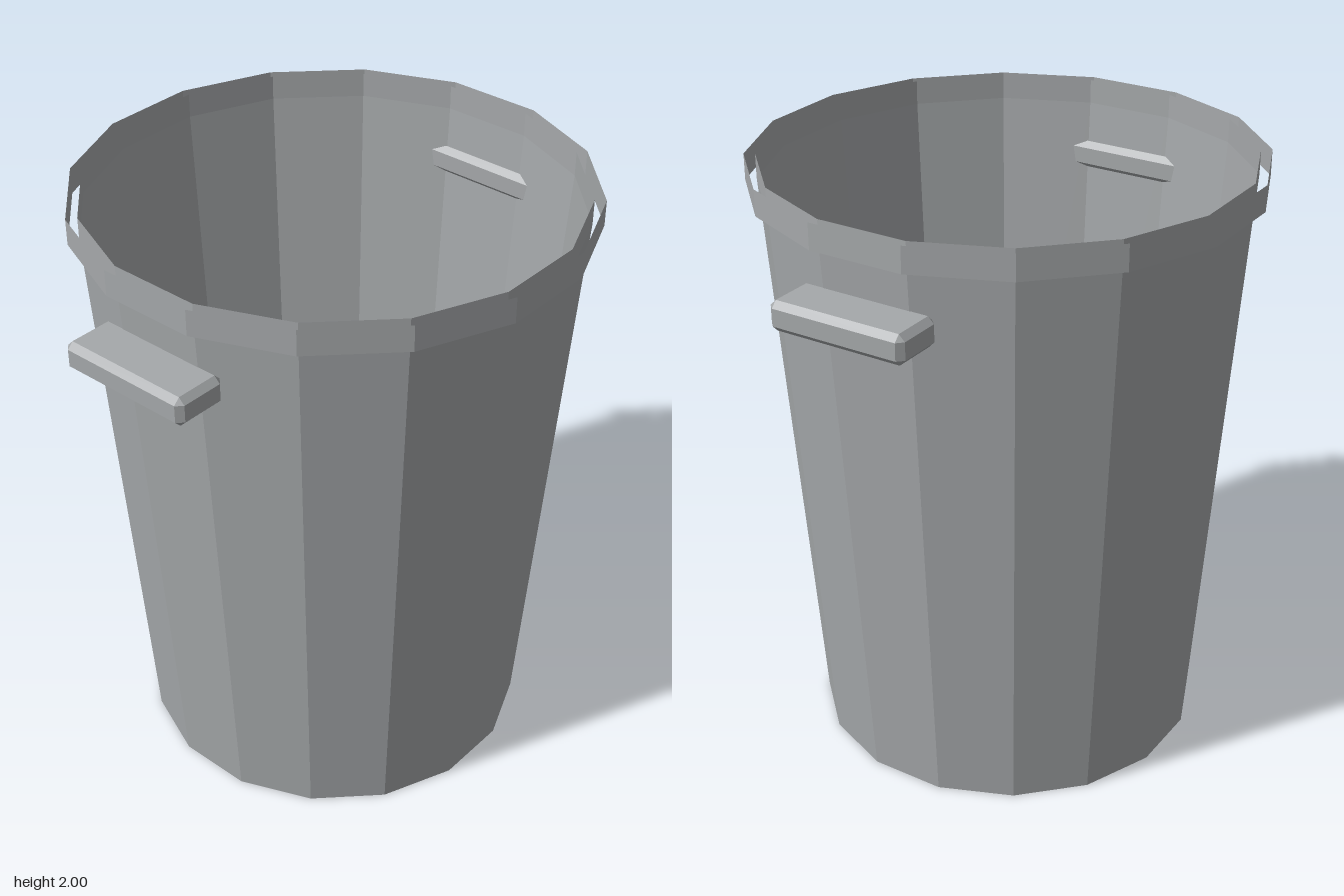
import * as THREE from 'three';
import { ConvexGeometry } from 'three/addons/geometries/ConvexGeometry.js';

const SIDES = 16;
const HALF_STEP = Math.PI / SIDES;
// corner radius of the polygon whose flats lie at distance d
const corner = (d) => d / Math.cos(HALF_STEP);

// Sixteen-sided surface from [flat distance, height] pairs, with a flat facing the front
function facetedLathe(profile) {
  const points = profile.map(([d, y]) => new THREE.Vector2(corner(d), y));
  return new THREE.LatheGeometry(points, SIDES, HALF_STEP);
}

// Box with every edge and corner cut off by c
function chamferedBox(w, h, d, c) {
  const points = [];
  for (const x of [-1, 1]) for (const y of [-1, 1]) for (const z of [-1, 1]) {
    for (let axis = 0; axis < 3; axis++) {
      const cut = [c, c, c];
      cut[axis] = 0;
      points.push(new THREE.Vector3(
        x * (w / 2 - cut[0]), y * (h / 2 - cut[1]), z * (d / 2 - cut[2])));
    }
  }
  return new ConvexGeometry(points);
}

export function createModel() {
  const model = new THREE.Group();
  model.name = 'bin';

  const metal = new THREE.MeshStandardMaterial({ color: 0xa5a8aa, flatShading: true, side: THREE.DoubleSide });
  metal.name = 'grey metal';
  const dark = new THREE.MeshStandardMaterial({ color: 0x575c5f, flatShading: true, side: THREE.DoubleSide });
  dark.name = 'dark grey';

  const add = (name, geometry, material) => {
    const mesh = new THREE.Mesh(geometry, material);
    mesh.name = name;
    model.add(mesh);
    return mesh;
  };

  // Tapered bucket with a closed base and a short upright collar
  add('body', facetedLathe([[0, 0], [0.633, 0], [0.768, 1.92], [0.768, 2]]), metal);

  // Thin band standing just clear of the collar
  add('rim', facetedLathe([[0.803, 1.915], [0.803, 2]]), metal);

  // Inner floor panel
  add('floor', facetedLathe([[0.602, 0.01], [0, 0.01]]), dark);

  // Side handles, pushed slightly through the wall
  const handle = chamferedBox(0.18, 0.096, 0.468, 0.02);
  for (const side of [1, -1]) {
    add(side > 0 ? 'leftHandle' : 'rightHandle', handle, metal).position.set(side * 0.827, 1.737, 0);
  }

  return model;
}
